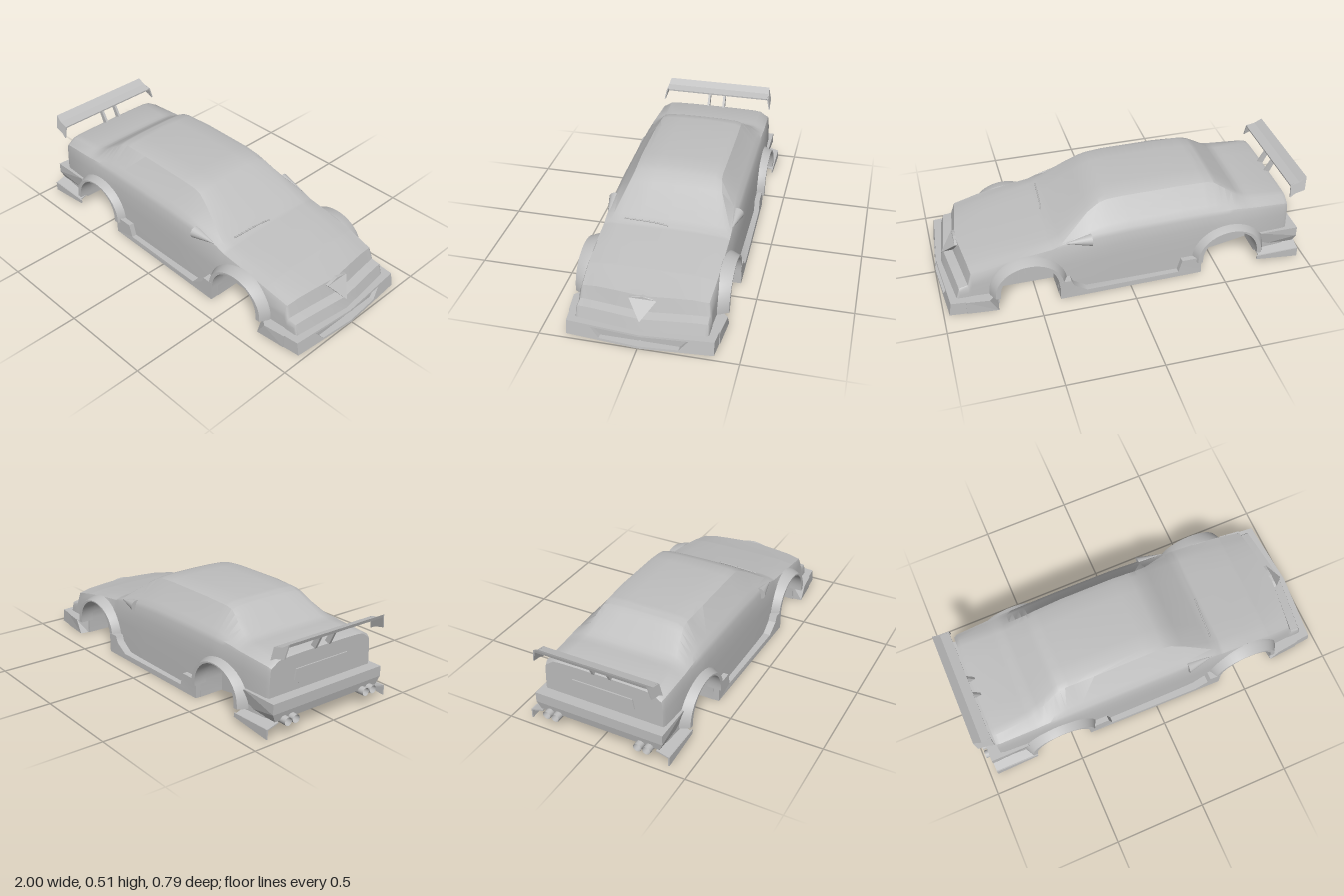
import * as THREE from 'three';
import { toCreasedNormals } from 'three/addons/utils/BufferGeometryUtils.js';

const CENTRES = [-0.56, 0.545]; // wheel arch centres along x
const R = 0.158, CY = 0.09, WELL_Z = 0.215;

// x, top centre y, upper edge y, upper edge z, shoulder y, shoulder z, lower side z
const STATIONS = [
  [-0.90, 0.36, 0.352, 0.28, 0.32, 0.328, 0.333],
  [-0.88, 0.367, 0.36, 0.285, 0.33, 0.335, 0.34],
  [-0.68, 0.375, 0.368, 0.275, 0.343, 0.341, 0.35],
  [-0.64, 0.392, 0.383, 0.262, 0.347, 0.342, 0.351],
  [-0.50, 0.490, 0.474, 0.230, 0.35, 0.344, 0.353],
  [-0.46, 0.500, 0.484, 0.23, 0.35, 0.344, 0.353],
  [-0.30, 0.508, 0.49, 0.235, 0.35, 0.345, 0.355],
  [0.00, 0.504, 0.487, 0.235, 0.344, 0.345, 0.356],
  [0.09, 0.496, 0.48, 0.233, 0.338, 0.345, 0.356],
  [0.135, 0.482, 0.467, 0.235, 0.335, 0.344, 0.356],
  [0.20, 0.443, 0.43, 0.25, 0.329, 0.342, 0.355],
  [0.355, 0.33, 0.322, 0.295, 0.307, 0.338, 0.352],
  [0.41, 0.307, 0.299, 0.30, 0.287, 0.337, 0.35],
  [0.545, 0.284, 0.276, 0.295, 0.268, 0.336, 0.347],
  [0.70, 0.256, 0.247, 0.285, 0.24, 0.332, 0.343],
  [0.835, 0.223, 0.213, 0.28, 0.207, 0.322, 0.335],
  [0.857, 0.146, 0.144, 0.28, 0.142, 0.328, 0.337],
  [0.905, 0.137, 0.135, 0.28, 0.132, 0.33, 0.336],
  [0.925, 0.07, 0.069, 0.28, 0.067, 0.33, 0.333],
];

const lerp = THREE.MathUtils.lerp, clamp = THREE.MathUtils.clamp;

function stationAt(x) {
  let i = 0;
  while (i < STATIONS.length - 2 && STATIONS[i + 1][0] < x) i++;
  const a = STATIONS[i], b = STATIONS[i + 1];
  const t = clamp((x - a[0]) / (b[0] - a[0]), 0, 1);
  return a.map((v, k) => lerp(v, b[k], t));
}

// closed skin between rings of points, with fan caps
function loft(rings, crease) {
  const pos = [], idx = [], n = rings[0].length;
  rings.forEach(r => r.forEach(p => pos.push(...p)));
  for (let i = 0; i < rings.length - 1; i++) {
    for (let j = 0; j < n; j++) {
      const a = i * n + j, b = i * n + (j + 1) % n;
      idx.push(a, b, a + n, b, b + n, a + n);
    }
  }
  [0, rings.length - 1].forEach((i, end) => {
    const c = pos.length / 3, r = rings[i];
    pos.push(...[0, 1, 2].map(k => r.reduce((s, p) => s + p[k], 0) / n));
    for (let j = 0; j < n; j++) {
      const a = i * n + j, b = i * n + (j + 1) % n;
      if (end) idx.push(c, a, b); else idx.push(c, b, a);
    }
  });
  const g = new THREE.BufferGeometry();
  g.setAttribute('position', new THREE.Float32BufferAttribute(pos, 3));
  g.setIndex(idx);
  return toCreasedNormals(g, crease);
}

// flat outline in x/y, extruded along z
function slab(points, z0, z1) {
  const s = new THREE.Shape(points.map(p => new THREE.Vector2(...p)));
  return new THREE.ExtrudeGeometry(s, { depth: z1 - z0, bevelEnabled: false }).translate(0, 0, z0);
}

// move every vertex by a rule
function bend(g, rule) {
  const p = g.attributes.position, v = new THREE.Vector3();
  for (let i = 0; i < p.count; i++) {
    rule(v.fromBufferAttribute(p, i));
    p.setXYZ(i, v.x, v.y, v.z);
  }
  g.computeVertexNormals();
  return g;
}

// copy on the other side, with the corner order reversed
function mirrored(g) {
  const m = g.index ? g.toNonIndexed() : g.clone();
  const p = m.attributes.position;
  const at = i => [p.getX(i), p.getY(i), -p.getZ(i)];
  for (let i = 0; i < p.count; i += 3) {
    const a = at(i), b = at(i + 1), c = at(i + 2);
    p.setXYZ(i, ...a); p.setXYZ(i + 1, ...c); p.setXYZ(i + 2, ...b);
  }
  return toCreasedNormals(m, 0.6);
}

function bodyGeometry() {
  const floor = x => x > -0.42 ? 0 : Math.min(0.07, (-0.42 - x) * 0.19);
  const lower = x => {
    const c = CENTRES.find(k => Math.abs(x - k) <= R + 1e-6);
    return c === undefined ? floor(x) : CY + Math.sqrt(Math.max(0, R * R - (x - c) ** 2));
  };
  const xs = STATIONS.map(s => s[0]);
  for (const c of CENTRES) {
    xs.push(c - R - 1e-4, c + R + 1e-4);
    for (let k = 0; k <= 14; k++) xs.push(c - R * Math.cos(k * Math.PI / 14));
  }
  xs.sort((a, b) => a - b);
  const rings = xs.map(x => {
    const [, yc, ye, ze, ys, zs, zl] = stationAt(x);
    const b = Math.min(lower(x), ys - 0.005), f = Math.min(floor(x), b), d = yc - ye;
    const low = Math.min(0.1, ys * 0.5); // side rows stay level past the arches
    const row = t => Math.max(b, lerp(ys, low, t));
    const half = [
      [yc, 0], [yc - 0.1 * d, 0.5 * ze], [yc - 0.4 * d, 0.86 * ze], [ye, ze],
      [lerp(ye, ys, 0.75), lerp(ze, zs, 0.7)], [lerp(ye, ys, 0.93), lerp(ze, zs, 0.92)],
      [row(0.06), zs], [row(0.3), lerp(zs, zl, 0.7)], [row(0.6), zl],
      [b, zl], [b, WELL_Z], [f, WELL_Z], [f, 0],
    ];
    const other = half.slice(1, -1).reverse().map(([y, z]) => [y, -z]);
    // the nose is bowed forward in the middle
    const bow = 0.04 * clamp((x - 0.78) / 0.055, 0, 1);
    return [...half, ...other].map(([y, z]) => [x + bow * (1 - Math.abs(z) / 0.33), y, z]);
  });
  return loft(rings, 0.6);
}

// sloping arch flare with short straight legs
function flareGeometry(c) {
  // radius, z, sideways stretch
  const profile = [[0.18, 0.33, 1.16], [0.177, 0.352, 1.16], [0.162, 0.396, 1.12],
    [R - 0.002, 0.396, 1], [R - 0.002, 0.32, 1]];
  const ring = (t, drop) => profile.map(([r, z, s]) =>
    [c + r * s * Math.cos(t), CY - drop + r * Math.sin(t), z]);
  const rings = [ring(Math.PI, 0.015)];
  for (let k = 0; k <= 20; k++) rings.push(ring(Math.PI * (1 - k / 20), 0));
  rings.push(ring(0, 0.015));
  return loft(rings, 0.5);
}

export function createModel() {
  const car = new THREE.Group();
  car.name = 'racingSedan';
  const grey = new THREE.MeshStandardMaterial({ color: 0xbfbfbf, side: THREE.DoubleSide });
  grey.name = 'primer grey';
  const add = (name, g) => {
    const m = new THREE.Mesh(g, grey);
    m.name = name;
    car.add(m);
  };
  const pair = (name, g) => { add(name + 'Left', g); add(name + 'Right', mirrored(g)); };

  // shell with wheel wells, arch flares and stepped side skirts
  add('body', bodyGeometry());
  pair('rearFlare', flareGeometry(CENTRES[0]));
  pair('frontFlare', flareGeometry(CENTRES[1]));
  const skirt = slab([[-0.40, 0], [0.385, 0], [0.385, 0.11], [0.325, 0.11], [0.31, 0.075],
    [0.24, 0.03], [-0.27, 0.03], [-0.29, 0.1], [-0.40, 0.1]], 0.33, 0.384);
  pair('sideSkirt', bend(skirt, v => { if (v.z > 0.36) v.z += Math.max(0, v.x + 0.28) * 0.02; }));

  // front bumper, tapered in plan, with an open air intake
  const bumper = slab([[0.71, -0.35], [0.76, -0.396], [0.88, -0.382], [0.88, 0.382], [0.76, 0.396], [0.71, 0.35]],
    -0.075, 0).rotateX(Math.PI / 2);
  add('frontBumper', bend(bumper, v => { if (v.x < 0.8 && Math.abs(v.z) > 0.37) v.x -= (0.075 - v.y) * 0.6; }));
  const lip = slab([[0, 0], [0.37, 0], [0.37, 0.075], [0, 0.075], [0, 0.065],
    [0.245, 0.065], [0.2, 0.012], [0, 0.012]], 0, 0.13).rotateY(Math.PI / 2).translate(0.87, 0, 0);
  pair('frontLip', bend(lip, v => {
    if (v.x < 0.9 && v.z < -0.3) v.z -= 0.012;
    v.x -= 0.03 * Math.abs(v.z) / 0.37 + 0.15 * v.y;
  }));
  add('intakeBack', new THREE.BoxGeometry(0.075, 0.06, 0.5).translate(0.918, 0.037, 0));

  // pointed shield on the nose
  const shield = slab([[-0.07, 0.212], [0, 0.127], [0.07, 0.212], [0.035, 0.222], [0, 0.225], [-0.035, 0.222]], 0, 0.06)
    .rotateY(Math.PI / 2).translate(0.824, 0, 0);
  add('noseShield', bend(shield, v => { v.x += (0.225 - v.y) * 0.74 - Math.abs(v.z) * 0.12; }));

  // undercut rear bumper, corner flaps, tail panel and exhausts
  const rear = slab([[-0.96, 0.12], [-0.95, 0.075], [-0.745, 0.075], [-0.735, 0.12], [-0.745, 0.175], [-0.96, 0.175]], -0.36, 0.36);
  add('rearBumper', bend(rear, v => { if (v.y < 0.1) v.z *= 0.94; }));
  pair('rearFlap', slab([[-0.96, 0.005], [-0.72, 0.03], [-0.72, 0.052], [-0.96, 0.058]], 0.39, 0.397));
  const ledge = slab([[-0.96, 0.051], [-0.73, 0.046], [-0.73, 0.052], [-0.96, 0.058]], 0.325, 0.391);
  pair('rearFlapLedge', bend(ledge, v => { v.y += (0.391 - v.z) * 0.28; }));
  add('tailPanel', slab([[-0.13, 0.195], [0.13, 0.195], [0.18, 0.23], [0.17, 0.285], [-0.17, 0.285], [-0.18, 0.23]], 0, 0.008)
    .rotateY(Math.PI / 2).translate(-0.907, 0, 0));
  for (const z of [0.235, 0.285]) {
    pair('exhaust', new THREE.CylinderGeometry(0.022, 0.022, 0.24, 16, 1, true)
      .rotateZ(Math.PI / 2).translate(-0.865, 0.075, z));
  }

  // rear wing with drooped ends and two struts
  add('rearWing', slab([[-1, 0.475], [-0.995, 0.458], [-0.96, 0.438], [-0.91, 0.43], [-0.91, 0.438], [-0.96, 0.449]], -0.312, 0.312));
  const plate = slab([[-1, 0.475], [-0.99, 0.402], [-0.935, 0.39], [-0.905, 0.372], [-0.91, 0.438], [-0.96, 0.449]], 0.305, 0.313);
  pair('wingEndPlate', bend(plate, v => { v.z += (0.475 - v.y) * 0.23; }));
  pair('wingStrut', slab([[-0.945, 0.442], [-0.905, 0.358], [-0.87, 0.358], [-0.915, 0.435]], 0.04, 0.054));

  // teardrop door mirrors
  pair('doorMirror', new THREE.ConeGeometry(1, 1, 16).rotateZ(-Math.PI / 2)
    .scale(0.145, 0.034, 0.036).translate(0.272, 0.313, 0.333));

  // windscreen wiper
  const arm = new THREE.CatmullRomCurve3([[0.402, 0.318, -0.01], [0.394, 0.322, 0.06], [0.384, 0.32, 0.23]]
    .map(p => new THREE.Vector3(...p)));
  add('wiper', new THREE.TubeGeometry(arm, 12, 0.004, 6));
  return car;
}
